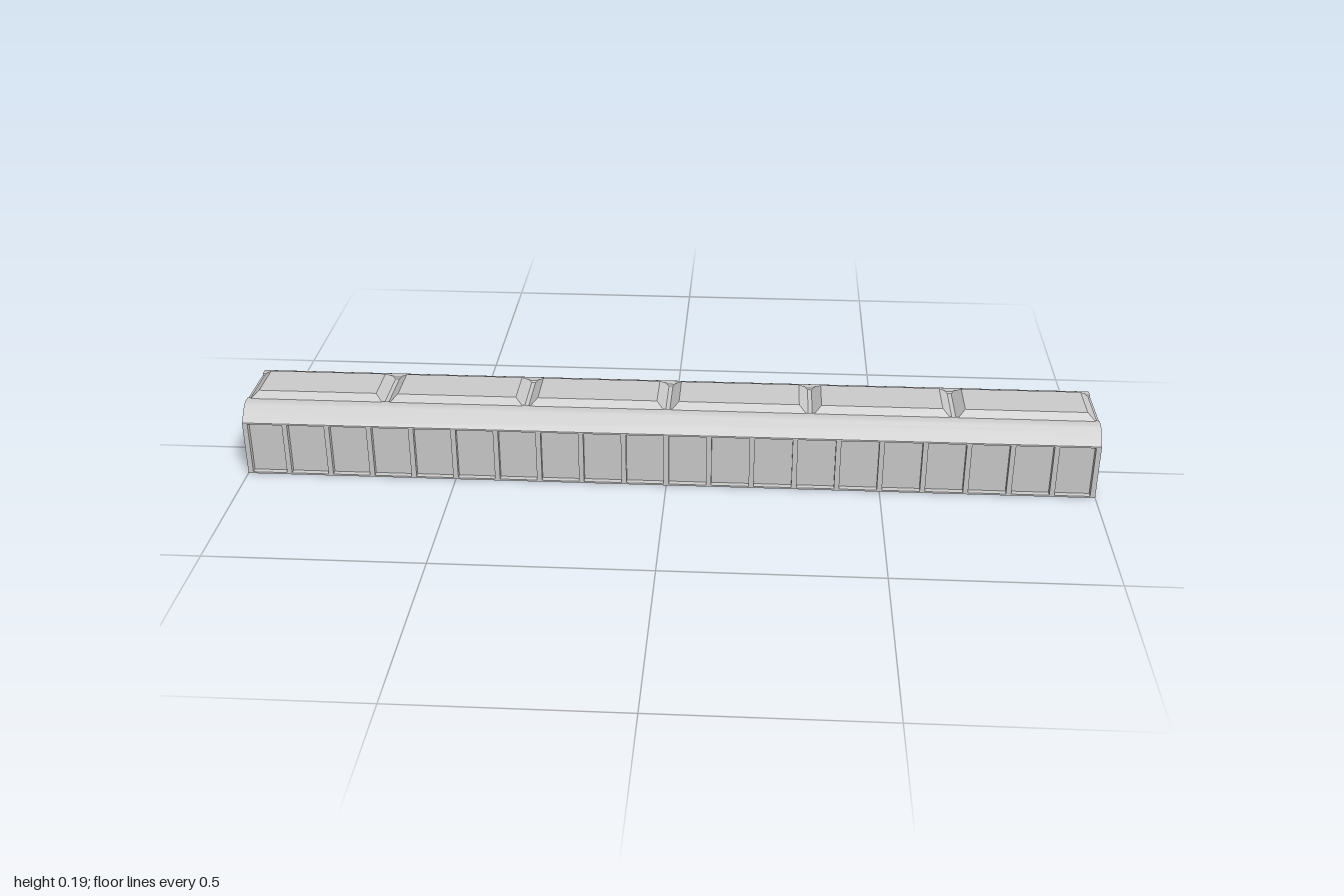
import * as THREE from 'three';
import { toCreasedNormals } from 'three/addons/utils/BufferGeometryUtils.js';

const HALF = 1, BAYS = 20, ROOF_PANELS = 6;

export function createModel() {
  const model = new THREE.Group();
  const grey = new THREE.MeshStandardMaterial({ color: 0xcccccc });
  const add = (name, geometry, x = 0, y = 0, z = 0, material = grey) => {
    const mesh = new THREE.Mesh(geometry, material);
    mesh.name = name;
    mesh.position.set(x, y, z);
    model.add(mesh);
    return mesh;
  };

  // Hull: constant cross-section with recessed side walls, sloped eaves and a sunken roof deck
  const half = [
    [0.127, 0], [0.127, 0.004], [0.113, 0.004], [0.113, 0.131], [0.127, 0.131], [0.127, 0.135],
    [0.099, 0.163], [0.094, 0.167], [0.088, 0.1695], [0.081, 0.171], [0.066, 0.171], [0.064, 0.167],
  ];
  const outline = [...half, ...half.slice().reverse().map(([z, y]) => [-z, y])];
  const section = new THREE.Shape(outline.map(([z, y]) => new THREE.Vector2(z, y)));
  const hull = new THREE.ExtrudeGeometry(section, { depth: 2 * HALF, bevelEnabled: false });
  hull.translate(0, 0, -HALF).rotateY(Math.PI / 2);
  add('hull', toCreasedNormals(hull, 0.4));

  // Wall posts dividing both sides into equal bays
  const postWidth = 0.012;
  for (let i = 0; i <= BAYS; i++) {
    const limit = HALF - postWidth / 2;
    const x = THREE.MathUtils.clamp(-HALF + (2 * HALF * i) / BAYS, -limit, limit);
    for (const side of [1, -1]) {
      add('wallPost', new THREE.BoxGeometry(postWidth, 0.127, 0.014), x, 0.0675, side * 0.12);
    }
  }

  // Raised roof panels: boxes whose top face is drawn in on all four sides
  const pitch = (2 * HALF) / ROOF_PANELS;
  const panel = new THREE.BoxGeometry(pitch, 0.022, 0.16);
  const p = panel.attributes.position;
  for (let i = 0; i < p.count; i++) {
    if (p.getY(i) > 0) {
      p.setX(i, p.getX(i) - Math.sign(p.getX(i)) * 0.026);
      p.setZ(i, Math.sign(p.getZ(i)) * 0.053);
    }
  }
  panel.computeVertexNormals();
  for (let i = 0; i < ROOF_PANELS; i++) {
    add('roofPanel', panel, -HALF + pitch * (i + 0.5), 0.174, 0);
  }

  // Small coloured markers on the rear end wall
  const teal = new THREE.MeshStandardMaterial({ color: 0x168080 });
  const amber = new THREE.MeshStandardMaterial({ color: 0x9a7420 });
  add('upperMarker', new THREE.BoxGeometry(0.002, 0.012, 0.05), -HALF + 0.0005, 0.158, -0.01, teal);
  add('lowerMarker', new THREE.BoxGeometry(0.002, 0.003, 0.18), -HALF + 0.0005, 0.003, 0, amber);

  return model;
}
